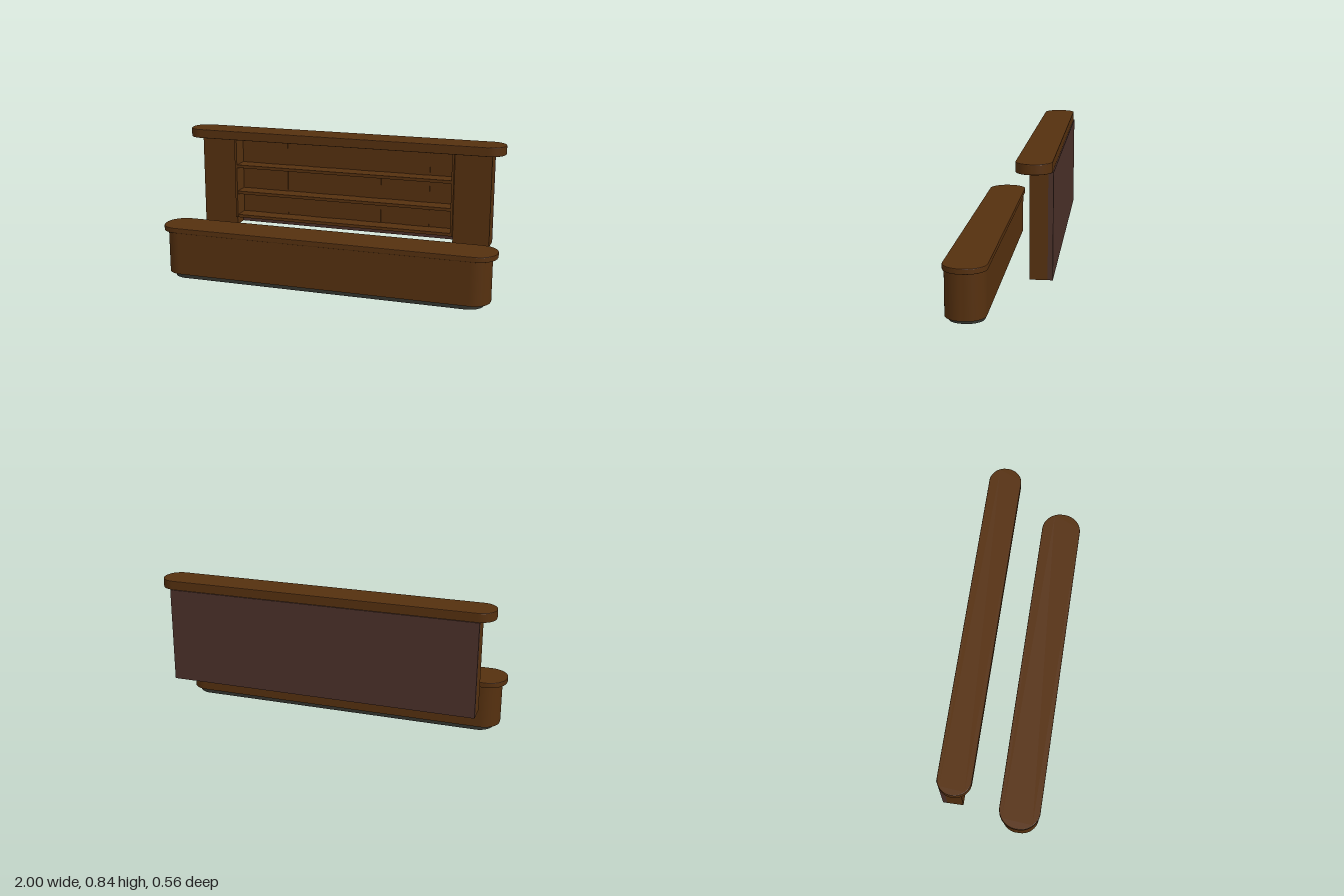
import * as THREE from 'three';

const wood = new THREE.MeshStandardMaterial({ color: 0x55300f });
wood.name = 'dark oak';
const panel = new THREE.MeshStandardMaterial({ color: 0x4a3029 });
panel.name = 'brown backing';
const plinth = new THREE.MeshStandardMaterial({ color: 0x32332d });
plinth.name = 'charcoal plinth';

// Box given by its limits on each axis
function box(name, mat, [x0, x1], [y0, y1], [z0, z1]) {
  const mesh = new THREE.Mesh(new THREE.BoxGeometry(x1 - x0, y1 - y0, z1 - z0), mat);
  mesh.name = name;
  mesh.position.set((x0 + x1) / 2, (y0 + y1) / 2, (z0 + z1) / 2);
  return mesh;
}

// Horizontal slab with rounded plan corners and a small edge bevel
function slab(name, mat, halfX, [y0, y1], [z0, z1], radius, bevel) {
  const w = halfX - bevel, d = (z1 - z0) / 2 - bevel, r = radius - bevel;
  const s = new THREE.Shape();
  s.moveTo(-w + r, -d);
  s.lineTo(w - r, -d);
  s.absarc(w - r, -d + r, r, -Math.PI / 2, 0, false);
  s.lineTo(w, d - r);
  s.absarc(w - r, d - r, r, 0, Math.PI / 2, false);
  s.lineTo(-w + r, d);
  s.absarc(-w + r, d - r, r, Math.PI / 2, Math.PI, false);
  s.lineTo(-w, -d + r);
  s.absarc(-w + r, -d + r, r, Math.PI, Math.PI * 1.5, false);
  const geo = new THREE.ExtrudeGeometry(s, {
    depth: y1 - y0 - 2 * bevel,
    bevelEnabled: bevel > 0,
    bevelSize: bevel,
    bevelThickness: bevel,
    bevelSegments: 2,
    curveSegments: 14,
  });
  geo.rotateX(-Math.PI / 2);
  geo.translate(0, y0 + bevel, (z0 + z1) / 2);
  const mesh = new THREE.Mesh(geo, mat);
  mesh.name = name;
  return mesh;
}

export function createModel() {
  const model = new THREE.Group();
  model.name = 'barCounterAndShelving';

  // Front counter
  const counter = new THREE.Group();
  counter.name = 'counter';
  counter.add(
    slab('counterPlinth', plinth, 0.935, [0, 0.027], [0.067, 0.261], 0.09, 0.003),
    slab('counterBody', wood, 0.97, [0.026, 0.282], [0.056, 0.275], 0.1, 0),
    slab('counterTop', wood, 1, [0.28, 0.311], [0.045, 0.281], 0.112, 0.004),
  );
  model.add(counter);

  // Back bar: backing, canopy and side columns
  const backBar = new THREE.Group();
  backBar.name = 'backBar';
  backBar.add(
    box('backPanel', panel, [-0.895, 0.895], [0.235, 0.784], [-0.281, -0.255]),
    slab('canopy', wood, 0.97, [0.783, 0.836], [-0.276, -0.092], 0.088, 0.004),
  );
  for (const s of [-1, 1]) {
    const span = (a, b) => (s > 0 ? [a, b] : [-b, -a]);
    backBar.add(
      box('column', wood, span(0.68, 0.895), [0.235, 0.784], [-0.255, -0.163]),
      box('shelfSide', wood, span(0.668, 0.681), [0.285, 0.784], [-0.255, -0.143]),
    );
  }

  // Upright boards behind the shelves, alternately set forward
  const boards = 9, width = 1.336 / boards;
  for (let i = 0; i < boards; i++) {
    const x = -0.668 + i * width;
    backBar.add(box('backBoard', wood, [x, x + width], [0.285, 0.784], [-0.255, i % 2 ? -0.244 : -0.248]));
  }

  // Shelves
  for (const y of [0.285, 0.435, 0.6]) {
    backBar.add(box('shelf', wood, [-0.668, 0.668], [y, y + 0.018], [-0.25, -0.147]));
  }
  model.add(backBar);

  return model;
}
